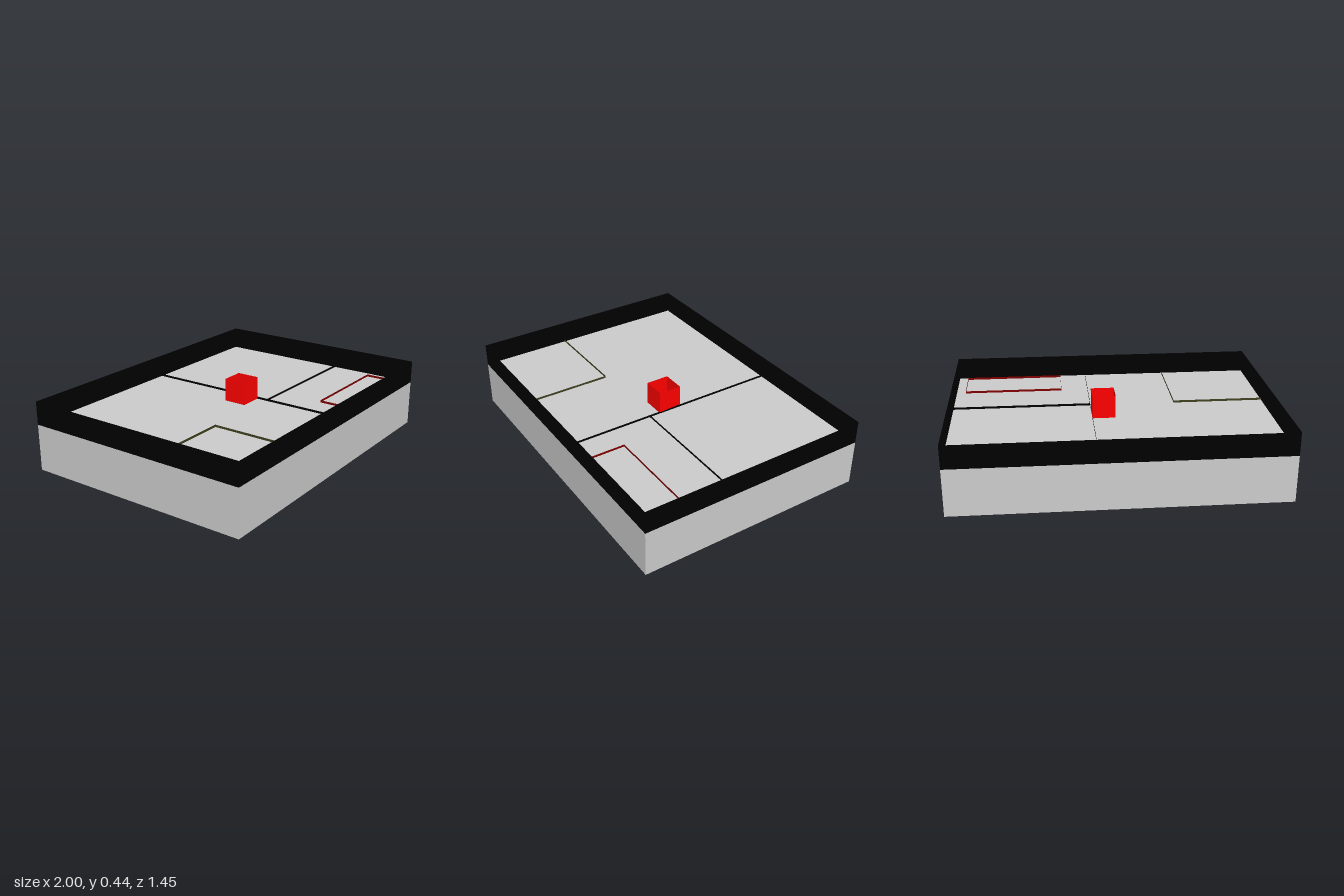
import * as THREE from 'three';

const W = 1, D = 0.727, FLOOR = 0.291, WALL = 0.145, LINE = 0.0145;

const paint = (color) => new THREE.MeshStandardMaterial({ color, side: THREE.DoubleSide });

// Upright thin sheet standing on the floor between two plan points [x, z]
function sheet([x1, z1], [x2, z2], height, material, name) {
  const geometry = new THREE.PlaneGeometry(Math.hypot(x2 - x1, z2 - z1), height);
  const mesh = new THREE.Mesh(geometry, material);
  mesh.position.set((x1 + x2) / 2, FLOOR + height / 2, (z1 + z2) / 2);
  mesh.rotation.y = -Math.atan2(z2 - z1, x2 - x1);
  mesh.name = name;
  return mesh;
}

// Chain of sheets along a plan path
function fence(name, points, height, material) {
  const group = new THREE.Group();
  group.name = name;
  for (let i = 0; i < points.length - 1; i++) {
    group.add(sheet(points[i], points[i + 1], height, material, name + 'Panel'));
  }
  return group;
}

// Closed rectangular plan path, counter-clockwise from above so panels face outward
const rectangle = (x1, x2, z1, z2) => [[x1, z2], [x2, z2], [x2, z1], [x1, z1], [x1, z2]];

export function createModel() {
  const model = new THREE.Group();
  model.name = 'walledTable';

  const grey = new THREE.MeshStandardMaterial({ color: 0xcccccc });
  const black = paint(0x000000);
  const red = paint(0xff0000);
  const darkRed = paint(0x800000);
  const olive = paint(0x404020);

  // Solid base block
  const base = new THREE.Mesh(new THREE.BoxGeometry(2 * W, FLOOR, 2 * D), grey);
  base.position.y = FLOOR / 2;
  base.name = 'base';
  model.add(base);

  // Perimeter walls
  model.add(fence('perimeterWall', rectangle(-W, W, -D, D), WALL, black));

  // Open-topped red box
  model.add(fence('redBox', rectangle(-0.02, 0.125, -0.075, 0.07), WALL, red));

  // Low floor dividers
  model.add(fence('crossDivider', [[0.125, -D], [0.125, D]], LINE, black));
  model.add(fence('sideDivider', [[0.125, 0.145], [W, 0.145]], LINE, black));

  // Low zone outlines
  model.add(fence('cornerZone', [[-W, 0.145], [-0.42, 0.145], [-0.42, D]], LINE, olive));
  model.add(fence('redZone', rectangle(0.3, 0.94, 0.433, 0.698), LINE, darkRed));

  return model;
}
